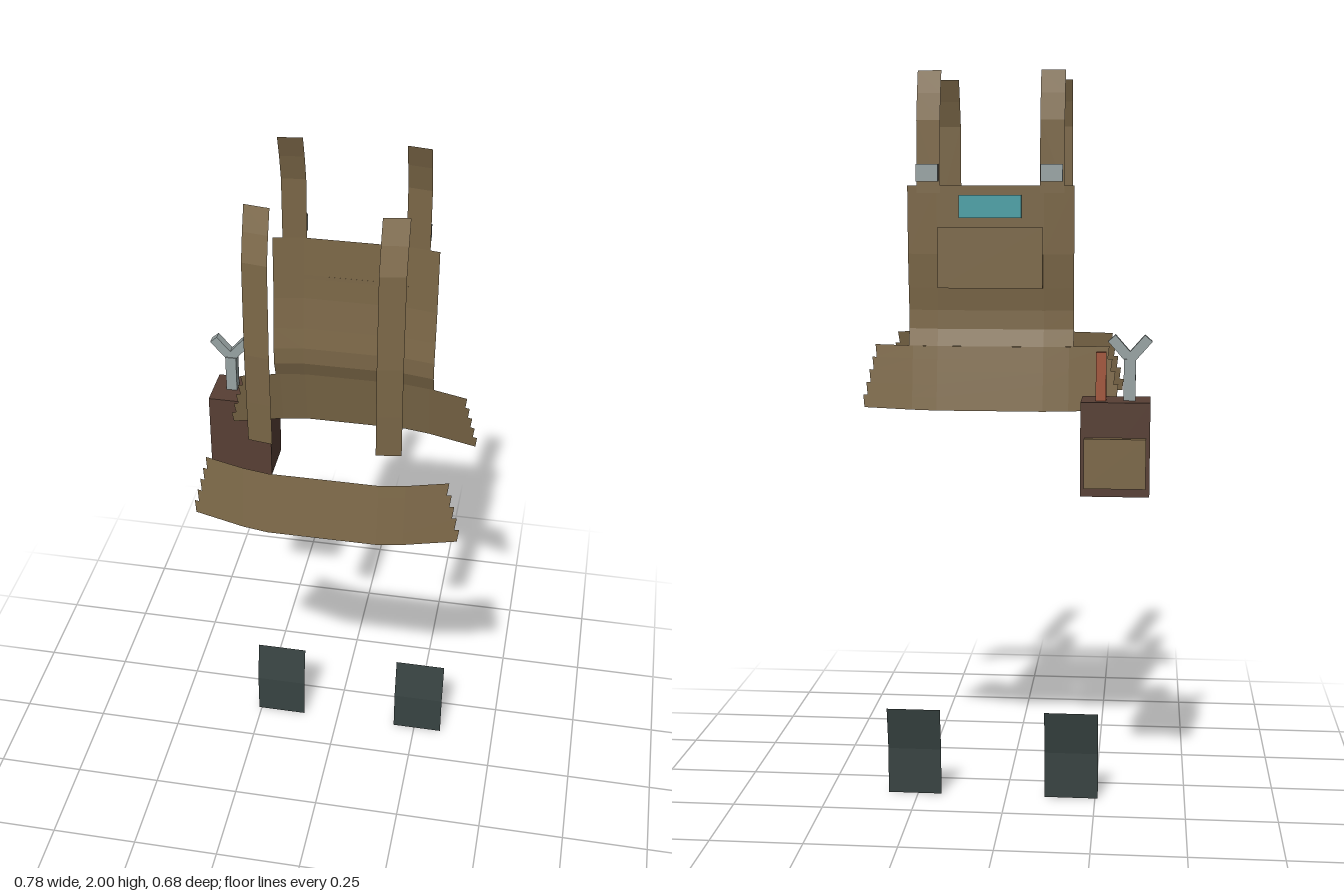
import * as THREE from 'three';

const CX = 0.038; // mirror plane of the garment

function material(name, color, side = THREE.FrontSide) {
  const m = new THREE.MeshStandardMaterial({ color, side, flatShading: true });
  m.name = name;
  return m;
}

// Open cloth sheet through rows of [x, y, z] points, faceted
function sheetGeometry(rows) {
  const cols = rows[0].length, index = [];
  for (let r = 0; r < rows.length - 1; r++) {
    for (let c = 0; c < cols - 1; c++) {
      const a = r * cols + c, b = a + 1, d = a + cols, e = d + 1;
      index.push(a, d, b, b, d, e);
    }
  }
  const g = new THREE.BufferGeometry();
  g.setAttribute('position', new THREE.Float32BufferAttribute(rows.flat(2), 3));
  g.setIndex(index);
  const flat = g.toNonIndexed();
  flat.computeVertexNormals();
  return flat;
}

export function createModel() {
  const model = new THREE.Group();
  model.name = 'workOutfit';
  const tan = material('tanCanvas', 0x7c6848, THREE.DoubleSide);
  const boot = material('darkBoot', 0x384342, THREE.DoubleSide);
  const leather = material('brownLeather', 0x573f34);
  const steel = material('steel', 0x98a3a3);
  const red = material('redHandle', 0xa2563c);
  const teal = material('tealLabel', 0x4aa0a6);

  const add = (name, geometry, mat, parent = model) => {
    const mesh = new THREE.Mesh(geometry, mat);
    mesh.name = name;
    parent.add(mesh);
    return mesh;
  };
  // Box given by its lower and upper corners
  const box = (name, lo, hi, mat, parent) => {
    const s = hi.map((v, i) => v - lo[i]);
    const mesh = add(name, new THREE.BoxGeometry(...s), mat, parent);
    mesh.position.set(...lo.map((v, i) => v + s[i] / 2));
    return mesh;
  };
  const lerp = THREE.MathUtils.lerp;

  // Flared waistband halves, in five bands with stepped ends
  function waistband(name, sign, zTop, zBottom) {
    const group = new THREE.Group();
    group.name = name;
    model.add(group);
    const N = 5;
    for (let i = 0; i < N; i++) {
      const half = lerp(0.317, 0.35, i / (N - 1));
      const rows = [i / N, (i + 1) / N].map((t) => {
        const z = lerp(zTop, zBottom, t);
        const y = lerp(1.275, 1.105, t);
        const end = half - (t === i / N ? 0 : 0.004);
        const drop = 0.012 + 0.29 * (end - 0.21);
        return [[-end, drop], [-0.21, 0.012], [-0.142, 0], [0.142, 0], [0.21, 0.012], [end, drop]]
          .map(([x, d]) => [CX + sign * x, y, z - sign * d]);
      });
      add('waistBand', sheetGeometry(rows), tan, group);
    }
  }
  waistband('frontWaistband', 1, 0.311, 0.337);
  waistband('backWaistband', -1, -0.168, -0.198);

  // Back panel, edges folded slightly forward
  const panelProfile = [[1.7, -0.166], [1.52, -0.163], [1.43, -0.155], [1.37, -0.148], [1.32, -0.15], [1.275, -0.166]];
  add('backPanel', sheetGeometry(panelProfile.map(([y, z]) =>
    [[0.222, 0.014], [0.142, 0], [-0.142, 0], [-0.222, 0.014]].map(([x, d]) => [CX + x, y, z + d]))), tan);

  // Pocket and label on the back panel
  box('backPocket', [CX - 0.14, 1.43, -0.172], [CX + 0.14, 1.59, -0.164], tan);
  box('backLabel', [CX - 0.083, 1.615, -0.175], [CX + 0.083, 1.675, -0.167], teal);

  // Shoulder straps with buckles, and boot panels, on both sides
  const frontStrap = [[2, 0.266], [1.94, 0.288], [1.87, 0.308], [1.62, 0.313], [1.48, 0.307], [1.36, 0.3]];
  const backStrap = [[2, -0.126], [1.94, -0.146], [1.87, -0.163], [1.68, -0.168]];
  const bootProfile = [[0.253, -0.145], [0.13, -0.122], [0, -0.122]];
  for (const side of [-1, 1]) {
    const label = side > 0 ? 'left' : 'right';
    const strip = (name, profile, inner, outer, shift, mat) =>
      add(label + name, sheetGeometry(profile.map(([y, z]) => {
        const row = [[CX + side * inner, y, z], [CX + side * outer, y, z + shift]];
        return side * shift < 0 || (shift === 0 && side < 0) ? row.reverse() : row;
      })), mat);
    strip('FrontStrap', frontStrap, 0.132, 0.196, -0.01, tan);
    strip('BackStrap', backStrap, 0.132, 0.196, 0.01, tan);
    strip('BootPanel', bootProfile, 0.146, 0.296, 0, boot);
    const bx = CX + side * 0.164;
    box(label + 'Buckle', [bx - 0.029, 1.71, -0.197], [bx + 0.029, 1.755, -0.178], steel);
  }

  // Tool pouch with front pocket
  const pouch = new THREE.Group();
  pouch.name = 'toolPouch';
  model.add(pouch);
  box('pouchBody', [-0.39, 0.9, -0.316], [-0.21, 1.147, -0.185], leather, pouch);
  box('pouchPocket', [-0.38, 0.925, -0.339], [-0.22, 1.055, -0.314], tan, pouch);
  box('toolHandle', [-0.275, 1.12, -0.284], [-0.248, 1.273, -0.256], red, pouch);

  // Open-ended wrench
  box('wrenchHandle', [-0.351, 1.12, -0.272], [-0.32, 1.255, -0.242], steel, pouch);
  for (const side of [-1, 1]) {
    const jaw = add('wrenchJaw', new THREE.BoxGeometry(0.026, 0.075, 0.025), steel, pouch);
    jaw.position.set(-0.336 + side * 0.023, 1.281, -0.257);
    jaw.rotation.z = -side * 0.72;
  }
  return model;
}
